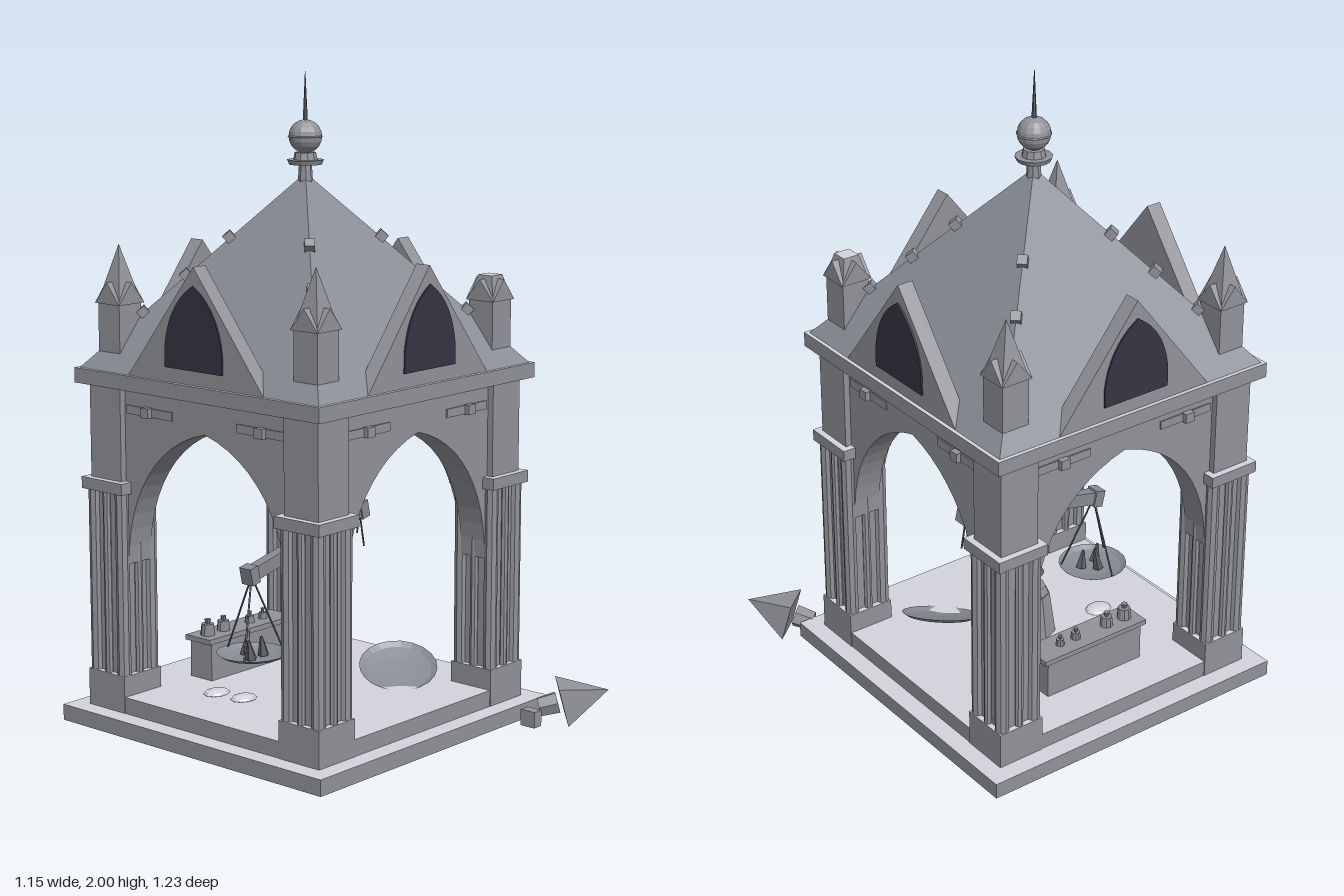
import * as THREE from 'three';

const mat = (name, color, opt = {}) => {
  const m = new THREE.MeshStandardMaterial({ color, flatShading: true, ...opt });
  m.name = name;
  return m;
};
const stone = mat('stone', 0x919399);
const slate = mat('roof slate', 0x8b8e97);
const metal = mat('dull metal', 0x888b92, { side: THREE.DoubleSide });
const dark = mat('dark iron', 0x5a5d63);
const glass = mat('dark window', 0x353443, { side: THREE.DoubleSide });
const pale = mat('pale stone', 0xd4d5dc);
const topped = [stone, stone, pale, stone, stone, stone]; // box with a pale upper face

const V = (x, y, z) => new THREE.Vector3(x, y, z);
const UP = V(0, 1, 0);

function add(parent, name, geo, material, x = 0, y = 0, z = 0) {
  const m = new THREE.Mesh(geo, material);
  m.name = name;
  m.position.set(x, y, z);
  parent.add(m);
  return m;
}
const box = (p, name, w, h, d, m, x, y, z) => add(p, name, new THREE.BoxGeometry(w, h, d), m, x, y, z);
const cyl = (p, name, rt, rb, h, n, m, x, y, z) => add(p, name, new THREE.CylinderGeometry(rt, rb, h, n), m, x, y, z);

// Square frustum given by half widths, standing on y
function frustum(p, name, top, bottom, h, m, x, y, z) {
  const g = new THREE.CylinderGeometry(top * Math.SQRT2, bottom * Math.SQRT2, h, 4);
  g.rotateY(Math.PI / 4);
  return add(p, name, g, m, x, y + h / 2, z);
}

// Thin rod between two points
function rod(p, name, a, b, r, m) {
  const d = b.clone().sub(a);
  const c = a.clone().add(b).multiplyScalar(0.5);
  const mesh = cyl(p, name, r, r, d.length(), 5, m, c.x, c.y, c.z);
  mesh.quaternion.setFromUnitVectors(UP, d.normalize());
  return mesh;
}

function extrude(shape, depth, z0) {
  const g = new THREE.ExtrudeGeometry(shape, { depth, bevelEnabled: false, curveSegments: 12 });
  g.translate(0, 0, z0);
  return g;
}
const triangle = (w, y0, y1) => new THREE.Shape([new THREE.Vector2(-w, y0), new THREE.Vector2(w, y0), new THREE.Vector2(0, y1)]);

// Clustered corner pier with plinth and capital
function pier(parent, x, z) {
  const g = new THREE.Group();
  g.name = 'cornerPier';
  g.position.set(x, 0, z);
  box(g, 'pierPlinth', 0.155, 0.115, 0.155, topped, 0, 0.126, 0);
  box(g, 'pierCore', 0.12, 0.6, 0.12, stone, 0, 0.47, 0);
  for (const s of [-1, 1]) {
    for (const t of [-1, 1]) cyl(g, 'cornerShaft', 0.021, 0.021, 0.57, 8, stone, s * 0.057, 0.467, t * 0.057);
    cyl(g, 'sideShaft', 0.013, 0.013, 0.57, 8, stone, s * 0.064, 0.467, 0);
    cyl(g, 'sideShaft', 0.013, 0.013, 0.57, 8, stone, 0, 0.467, s * 0.064);
  }
  box(g, 'pierCapital', 0.172, 0.036, 0.172, topped, 0, 0.767, 0);
  box(g, 'upperPier', 0.13, 0.3, 0.13, stone, 0, 0.93, 0);
  parent.add(g);
}

// Roof corner pinnacle, one of them broken off flat
function pinnacle(parent, x, z, broken) {
  const g = new THREE.Group();
  g.name = broken ? 'brokenPinnacle' : 'pinnacle';
  g.position.set(x, 0, z);
  box(g, 'pinnacleBlock', 0.09, 0.21, 0.09, stone, 0, 1.22, 0);
  for (const a of [0, Math.PI / 2]) {
    add(g, 'pinnacleGablet', extrude(triangle(0.052, 1.315, 1.38), 0.104, -0.052), stone).rotation.y = a;
  }
  if (broken) frustum(g, 'brokenStump', 0.026, 0.045, 0.07, [stone, pale, stone], 0, 1.32, 0);
  else frustum(g, 'pinnacleSpire', 0.0005, 0.045, 0.17, stone, 0, 1.32, 0);
  parent.add(g);
}

// One side: arched wall, wall rails, gable and window
function side(parent, angle) {
  const g = new THREE.Group();
  g.name = 'buildingSide';
  g.rotation.y = angle;
  const w = new THREE.Shape();
  w.moveTo(-0.345, 0.53);
  w.lineTo(-0.322, 0.53);
  w.bezierCurveTo(-0.322, 0.75, -0.2, 0.92, 0, 0.97);
  w.bezierCurveTo(0.2, 0.92, 0.322, 0.75, 0.322, 0.53);
  w.lineTo(0.345, 0.53);
  w.lineTo(0.345, 1.08);
  w.lineTo(-0.345, 1.08);
  add(g, 'archedWall', extrude(w, 0.09, 0.35), stone);
  for (const s of [-1, 1]) {
    box(g, 'wallRail', 0.19, 0.026, 0.012, stone, s * 0.225, 1.007, 0.438);
    box(g, 'railBracket', 0.032, 0.03, 0.022, stone, s * 0.23, 1.007, 0.448);
  }
  add(g, 'gable', extrude(triangle(0.272, 1.12, 1.465), 0.05, 0.43), stone);
  const win = new THREE.Shape();
  win.moveTo(-0.115, 1.163);
  win.lineTo(0.115, 1.163);
  win.lineTo(0.115, 1.22);
  win.quadraticCurveTo(0.1, 1.35, 0, 1.41);
  win.quadraticCurveTo(-0.1, 1.35, -0.115, 1.22);
  add(g, 'gableWindow', extrude(win, 0.007, 0.478), glass);
  parent.add(g);
}

function pan(parent, name, r) {
  const pts = [[0, 0], [0.5, 0.002], [0.85, 0.009], [1, 0.02]].map(([a, y]) => new THREE.Vector2(a * r, y));
  return add(parent, name, new THREE.LatheGeometry(pts, 20), dark.side === THREE.DoubleSide ? dark : metal);
}

// Balance scale on its pedestal, tipped to the loaded side
function balance(parent) {
  const g = new THREE.Group();
  g.name = 'balanceScale';
  cyl(g, 'scalePedestal', 0.058, 0.078, 0.14, 8, stone, 0, 0.188, 0);
  cyl(g, 'pedestalCap', 0.045, 0.055, 0.025, 8, stone, 0, 0.27, 0);
  cyl(g, 'scaleColumn', 0.023, 0.028, 0.25, 10, metal, 0, 0.4, 0);
  for (const y of [0.3, 0.475, 0.51]) cyl(g, 'columnRing', 0.032, 0.032, 0.014, 10, metal, 0, y, 0);
  box(g, 'pivotBlock', 0.08, 0.09, 0.07, metal, 0, 0.565, 0);
  const beam = new THREE.Group();
  beam.name = 'beam';
  beam.position.y = 0.573;
  beam.rotation.z = 0.225;
  box(beam, 'beamBar', 0.51, 0.042, 0.034, metal, 0, 0, 0);
  for (const s of [-1, 1]) box(beam, 'beamEnd', 0.034, 0.054, 0.046, metal, s * 0.258, 0, 0);
  g.add(beam);
  rod(g, 'needle', V(0, 0.6, 0), V(-0.018, 0.7, 0), 0.004, dark);
  rod(g, 'needle', V(0, 0.6, -0.02), V(0.014, 0.7, -0.02), 0.004, dark);
  add(g, 'needleDial', new THREE.TorusGeometry(0.09, 0.006, 5, 14, 1.7), metal, 0, 0.625, -0.022).rotation.z = Math.PI / 2 - 0.85;
  for (let i = 0; i < 7; i++) {
    const a = Math.PI / 2 + (i - 3) * 0.26;
    box(g, 'dialTooth', 0.007, 0.016, 0.008, dark, 0.093 * Math.cos(a), 0.625 + 0.093 * Math.sin(a), -0.022).rotation.z = a - Math.PI / 2;
  }
  // Hanging pan with its load
  const x = -0.245;
  pan(g, 'hangingPan', 0.108).position.set(x, 0.255, 0);
  for (let i = 0; i < 3; i++) {
    const a = Math.PI / 6 + (i * 2 * Math.PI) / 3;
    rod(g, 'panCord', V(x, 0.51, 0), V(x + 0.1 * Math.cos(a), 0.273, 0.1 * Math.sin(a)), 0.003, dark);
  }
  for (const [dx, dz, h, t] of [[-0.03, 0.02, 0.06, 0.2], [0, -0.02, 0.075, -0.2], [0.03, 0.015, 0.06, 0.15]]) {
    cyl(g, 'panLoad', 0.004, 0.018, h, 5, dark, x + dx, 0.261 + h / 2, dz).rotation.z = t;
  }
  // Snapped cords on the raised end
  rod(g, 'snappedCord', V(0.25, 0.62, 0), V(0.262, 0.51, 0.008), 0.003, dark);
  rod(g, 'snappedCord', V(0.25, 0.62, 0), V(0.255, 0.55, -0.015), 0.003, dark);
  parent.add(g);
}

export function createModel() {
  const model = new THREE.Group();
  model.name = 'ruinedScalePavilion';
  const b = new THREE.Group();
  b.name = 'pavilion';
  b.position.set(-0.045, 0, -0.09);
  model.add(b);

  // Base, cornice and roof
  box(b, 'baseSlab', 1.06, 0.05, 1.06, topped, 0, 0.043, 0);
  box(b, 'floorSlab', 0.94, 0.052, 0.94, topped, 0, 0.093, 0);
  box(b, 'cornice', 0.984, 0.046, 0.984, topped, 0, 1.097, 0);
  frustum(b, 'roof', 0.004, 0.48, 0.575, slate, 0, 1.12, 0);
  for (let i = 0; i < 4; i++) side(b, (i * Math.PI) / 2);
  for (const sx of [-1, 1]) for (const sz of [-1, 1]) {
    pier(b, sx * 0.395, sz * 0.395);
    pinnacle(b, sx * 0.394, sz * 0.394, sx > 0 && sz > 0);
    // Stone knobs down each roof hip
    for (const d of [0.16, 0.252, 0.343]) {
      const k = box(b, 'roofKnob', 0.03, 0.034, 0.03, stone, sx * d, 1.704 - 1.225 * d, sz * d);
      k.rotation.set(0, Math.atan2(sx, sz), 0);
      k.rotateX(0.72);
    }
  }

  // Roof finial
  cyl(b, 'finialNeck', 0.019, 0.024, 0.08, 8, stone, 0, 1.69, 0);
  cyl(b, 'finialPlate', 0.056, 0.05, 0.014, 12, stone, 0, 1.732, 0);
  cyl(b, 'finialCollar', 0.032, 0.036, 0.022, 10, stone, 0, 1.75, 0);
  add(b, 'finialBall', new THREE.SphereGeometry(0.05, 14, 10), stone, 0, 1.808, 0);
  add(b, 'ballBand', new THREE.TorusGeometry(0.05, 0.003, 4, 14), stone, 0, 1.808, 0).rotation.x = Math.PI / 2;
  cyl(b, 'finialSpike', 0.0008, 0.008, 0.15, 6, dark, 0, 1.925, 0);

  balance(b);

  // Bench with weights along the back
  box(model, 'benchBody', 0.36, 0.125, 0.09, stone, -0.04, 0.175, -0.373);
  box(model, 'benchTop', 0.39, 0.016, 0.105, stone, -0.04, 0.246, -0.373);
  for (const [x, r, h] of [[-0.19, 0.023, 0.036], [-0.12, 0.021, 0.032], [0, 0.016, 0.022], [0.06, 0.014, 0.02]]) {
    cyl(model, 'weight', r * 0.85, r, h, 10, metal, x, 0.254 + h / 2, -0.373);
    cyl(model, 'weightKnob', r * 0.45, r * 0.3, 0.014, 8, metal, x, 0.261 + h, -0.373);
  }

  // Fallen pan and rubble on the floor
  const fallen = pan(model, 'fallenPan', 0.122);
  fallen.position.set(0.18, 0.146, 0.09);
  fallen.quaternion.setFromUnitVectors(UP, V(-0.3, 1, 0.3).normalize());
  for (const [x, z] of [[-0.28, 0.23], [-0.285, -0.13], [-0.3, -0.23]]) {
    add(model, 'floorStone', new THREE.SphereGeometry(0.045, 10, 6), pale, x, 0.12, z).scale.set(1, 0.3, 0.8);
  }
  cyl(model, 'floorWeight', 0.024, 0.024, 0.04, 8, metal, -0.24, 0.142, 0.145).rotation.x = 1.2;

  // Broken pinnacle top lying outside
  const tip = V(0.57, 0.1, 0.613);
  const foot = V(0.475, 0.062, 0.505);
  const dir = tip.clone().sub(foot);
  const q = new THREE.Quaternion().setFromUnitVectors(UP, dir.clone().normalize());
  const spire = cyl(model, 'fallenSpire', 0.0005, 0.088, dir.length(), 4, stone, 0.5225, 0.081, 0.559);
  spire.quaternion.copy(q);
  const stub = cyl(model, 'fallenSpireStub', 0.036, 0.032, 0.06, 6, stone, 0.447, 0.052, 0.474);
  stub.quaternion.copy(q);
  box(model, 'looseBlock', 0.035, 0.05, 0.052, stone, 0.27, 0.067, 0.54);
  return model;
}
